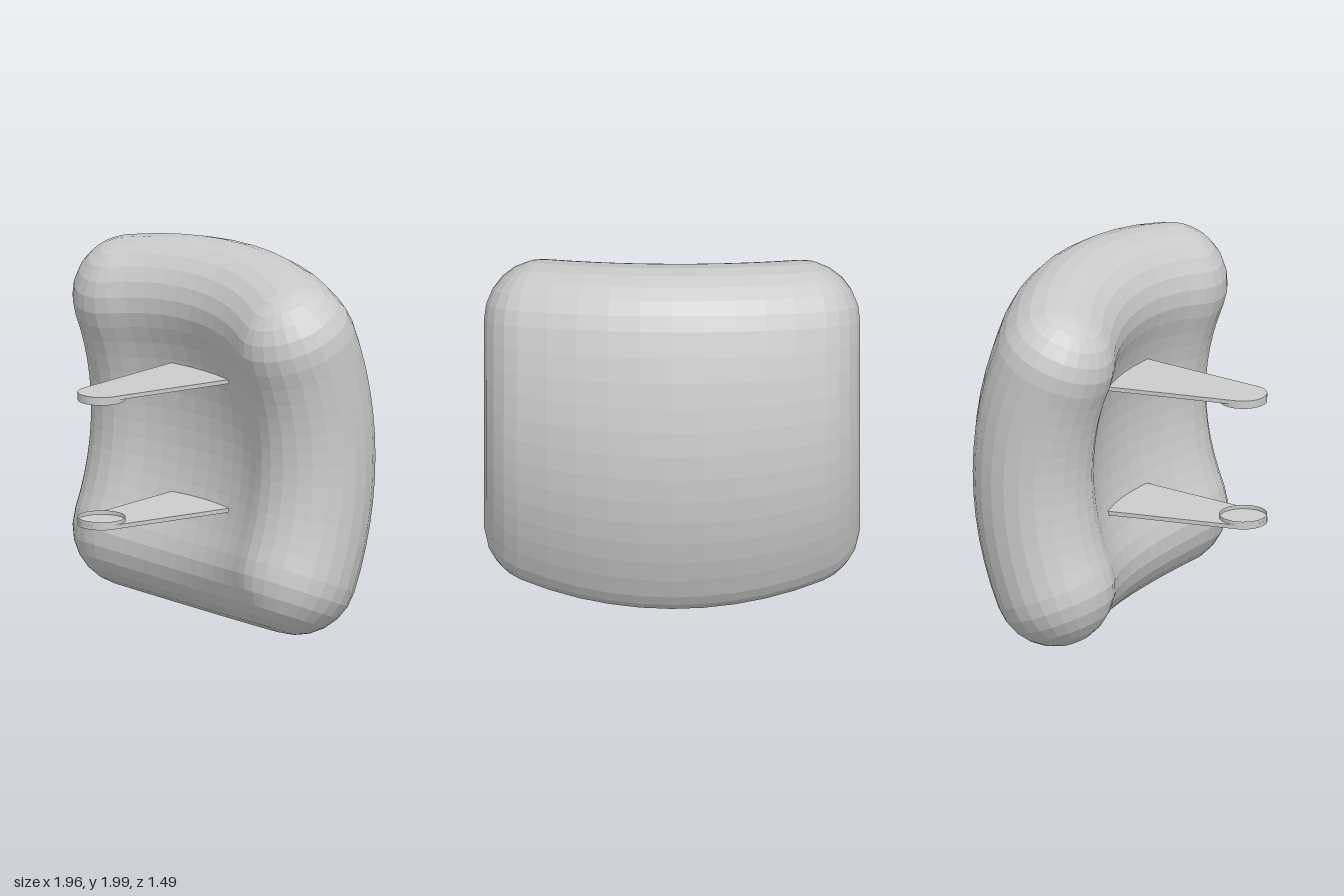
import * as THREE from 'three';

const material = new THREE.MeshStandardMaterial({ color: 0xcccccc, flatShading: true });
const thinMaterial = new THREE.MeshStandardMaterial({ color: 0xcccccc, side: THREE.DoubleSide });

// Doubly curved pad of constant thickness: an arc profile in x/z, swept about an x-parallel axis
const R = 0.315;              // half thickness and edge radius
const PROFILE_R = 1.48;       // bend seen from above
const PROFILE_A = 0.466;      // half angle of that bend
const SWEEP_R = 1.76;         // bend seen from the side
const SWEEP_A = 0.3985;       // half angle of that bend
const BACK_Z = -0.43;         // middle surface at the centre

function padGeometry() {
  const nu = 10, nv = 12, na = 12;

  // Outline of one slice: back, right end, front, left end
  const outline = [];
  const A = PROFILE_A, PI = Math.PI;
  for (let i = 0; i < nu; i++) { const a = -A + 2 * A * i / nu; outline.push([a, a]); }
  for (let i = 0; i < na; i++) outline.push([A, A + PI * i / na]);
  for (let i = 0; i < nu; i++) { const a = A - 2 * A * i / nu; outline.push([a, a + PI]); }
  for (let i = 0; i < na; i++) outline.push([-A, PI - A + PI * i / na]);

  // Slices: rounded bottom edge, body, rounded top edge
  const slices = [];
  const half = na / 2;
  for (let i = 0; i < half; i++) {
    const p = -PI / 2 + PI / 2 * i / half;
    slices.push([-SWEEP_A, R * Math.cos(p), R * Math.sin(p)]);
  }
  for (let i = 0; i <= nv; i++) slices.push([-SWEEP_A + 2 * SWEEP_A * i / nv, R, 0]);
  for (let i = 1; i <= half; i++) {
    const p = PI / 2 * i / half;
    slices.push([SWEEP_A, R * Math.cos(p), R * Math.sin(p)]);
  }

  const positions = [], index = [], n = outline.length;
  for (const [t, rho, h] of slices) {
    for (const [a, psi] of outline) {
      const x = PROFILE_R * Math.sin(a) + rho * Math.sin(psi);
      const rad = SWEEP_R - PROFILE_R * (1 - Math.cos(a)) + rho * Math.cos(psi);
      positions.push(
        x,
        1 + rad * Math.sin(t) + h * Math.cos(t),
        BACK_Z + SWEEP_R - rad * Math.cos(t) + h * Math.sin(t)
      );
    }
  }
  for (let j = 0; j < slices.length - 1; j++) {
    for (let i = 0; i < n; i++) {
      const k = (i + 1) % n;
      const br = j * n + i, bl = j * n + k, tr = br + n, tl = bl + n;
      index.push(bl, br, tr, bl, tr, tl);
    }
  }
  const g = new THREE.BufferGeometry();
  g.setAttribute('position', new THREE.Float32BufferAttribute(positions, 3));
  g.setIndex(index);
  g.computeVertexNormals();
  return g;
}

// Tapered bracket with a round tip and a short collar on its inner face
function bracket(name, side) {
  const group = new THREE.Group();
  group.name = name;
  const tipZ = 0.62, tipR = 0.125, thick = 0.022;

  const s = new THREE.Shape();
  s.moveTo(-0.25, -0.16);
  s.lineTo(0.25, -0.16);
  s.lineTo(tipR, tipZ);
  s.absarc(0, tipZ, tipR, 0.1, Math.PI - 0.1, false);
  s.closePath();
  const g = new THREE.ExtrudeGeometry(s, { depth: thick, bevelEnabled: false, curveSegments: 16 });
  g.rotateX(Math.PI / 2);
  g.translate(0, thick / 2, 0);
  const plate = new THREE.Mesh(g, thinMaterial);
  plate.name = 'bracketPlate';
  plate.position.y = 1 + side * 0.346;

  const collar = new THREE.Mesh(
    new THREE.CylinderGeometry(tipR, tipR, 0.036, 32, 1, true), thinMaterial);
  collar.name = 'bracketCollar';
  collar.position.set(0, 1 + side * 0.332, tipZ);

  group.add(plate, collar);
  return group;
}

export function createModel() {
  const model = new THREE.Group();
  model.name = 'curvedPad';
  const pad = new THREE.Mesh(padGeometry(), material);
  pad.name = 'pad';
  model.add(pad, bracket('upperBracket', 1), bracket('lowerBracket', -1));
  return model;
}
